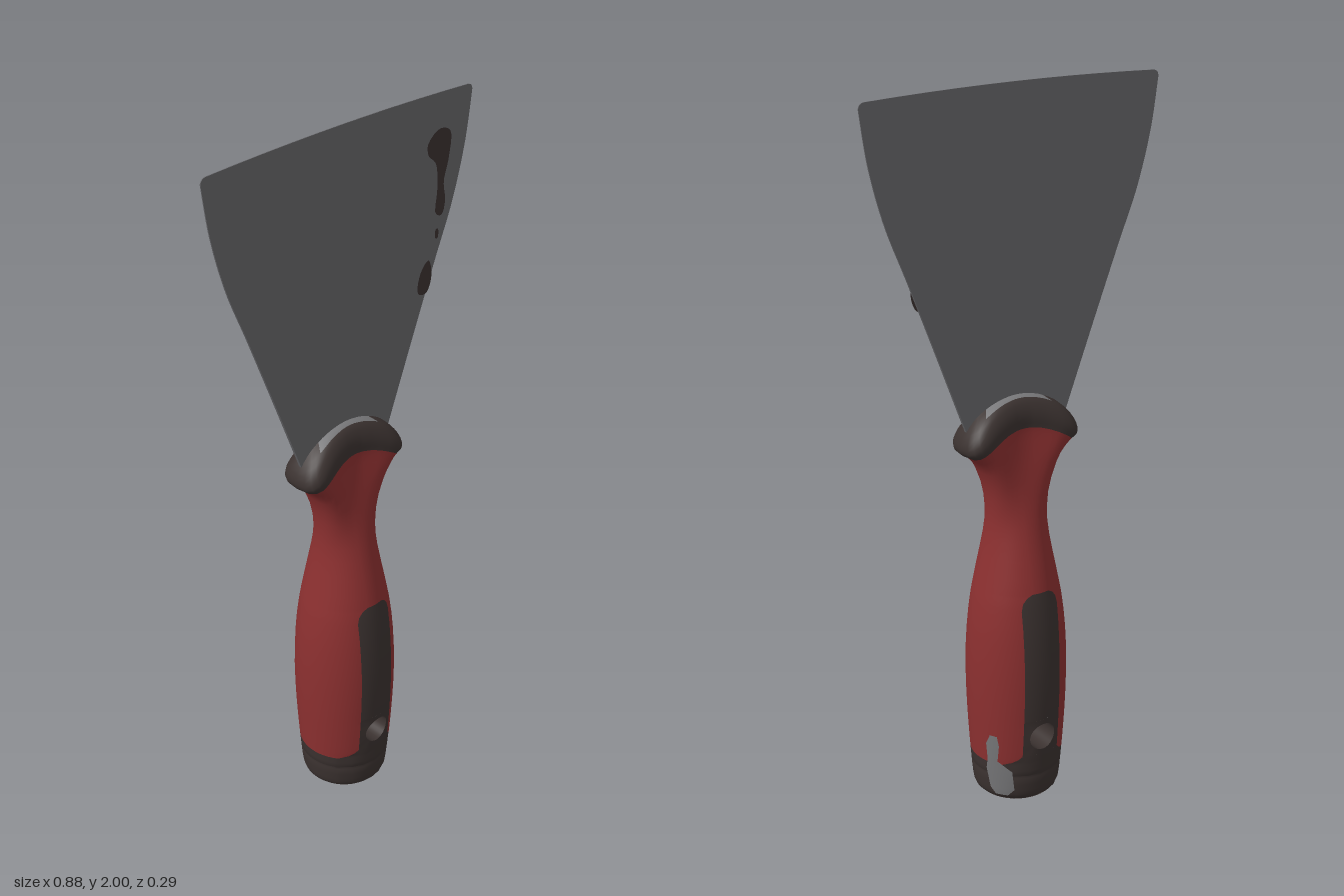
import * as THREE from 'three';

const mat = (name, color, side = THREE.FrontSide) => {
  const m = new THREE.MeshStandardMaterial({ color, side });
  m.name = name;
  return m;
};

// Handle profile: height, half width, half depth
const PROFILE = [
  [0.03, 0.102, 0.102], [0.042, 0.115, 0.115], [0.065, 0.121, 0.121], [0.11, 0.125, 0.126],
  [0.2, 0.131, 0.134], [0.3, 0.136, 0.14], [0.4, 0.138, 0.143], [0.5, 0.135, 0.14],
  [0.6, 0.125, 0.131], [0.7, 0.106, 0.115], [0.8, 0.087, 0.094], [0.87, 0.083, 0.08],
  [0.92, 0.09, 0.072], [0.97, 0.113, 0.066], [1.02, 0.148, 0.063], [1.05, 0.169, 0.066],
  [1.07, 0.174, 0.062], [1.09, 0.168, 0.05], [1.105, 0.148, 0.03], [1.112, 0.12, 0],
];
const slope = (i, c) => {
  const a = PROFILE[Math.max(i - 1, 0)], b = PROFILE[Math.min(i + 1, PROFILE.length - 1)];
  return (b[c] - a[c]) / (b[0] - a[0]);
};
function radius(t, c) {
  let i = 0;
  while (i < PROFILE.length - 2 && t > PROFILE[i + 1][0]) i++;
  const a = PROFILE[i], b = PROFILE[i + 1], h = b[0] - a[0], u = (t - a[0]) / h;
  const groove = Math.abs(t - 0.111) < 0.001 ? 0.965 : 1;
  const v = (1 + 2 * u) * (1 - u) ** 2 * a[c] + u * (1 - u) ** 2 * h * slope(i, c)
    + u * u * (3 - 2 * u) * b[c] + u * u * (u - 1) * h * slope(i + 1, c);
  return Math.max(0, v) * groove;
}

// Handle surface: round grip that becomes a pinched, arched fishtail at the neck
function surface(th, t, grow = 1) {
  const rx = radius(t, 1), rz = radius(t, 2), s = Math.abs(Math.sin(th));
  const k = THREE.MathUtils.smoothstep(t, 0.84, 1.04);
  const pinched = 1.866 * s ** 0.7 * (1 - 0.65 * s * s);
  const x = rx * Math.cos(th);
  const z = rz * Math.sign(Math.sin(th)) * THREE.MathUtils.lerp(s, pinched, k);
  return [x * grow, t + 0.08 * k * Math.max(0, 1 - (x / 0.175) ** 2), z * grow];
}

// Half width of the dark inlay at a given height
const INLAY = [[0.03, 0.085], [0.13, 0.1], [0.15, 0.1], [0.16, 0.08], [0.17, 0.066], [0.18, 0.057],
  [0.62, 0.057], [0.64, 0.052], [0.655, 0.041], [0.664, 0.025], [1.2, 0.025]];
function inlayWidth(t) {
  const i = Math.max(1, INLAY.findIndex((p) => p[0] >= t));
  const [a, b] = [INLAY[i - 1], INLAY[i]];
  return THREE.MathUtils.lerp(a[1], b[1], (t - a[0]) / (b[0] - a[0]));
}

function buffer(positions, index) {
  const g = new THREE.BufferGeometry();
  g.setAttribute('position', new THREE.Float32BufferAttribute(positions, 3));
  g.setIndex(index);
  return g;
}

const HOLE = { y: 0.235, r: 0.04, hx: 0.057, hy: 0.055 };
const ROWS = [0.03, 0.035, 0.042, 0.052, 0.065, 0.085, 0.107, 0.111, 0.115, 0.13, 0.15, 0.16, 0.17,
  0.18, 0.2, 0.235, 0.27, 0.29, 0.34, 0.4, 0.46, 0.52, 0.57, 0.62, 0.64, 0.655, 0.664, 0.7, 0.75,
  0.8, 0.84, 0.87, 0.9, 0.93, 0.96, 0.98, 1.0, 1.015, 1.028, 1.04, 1.05, 1.06, 1.07, 1.08, 1.09,
  1.098, 1.105, 1.109, 1.112];

function handleGeometry() {
  const SIDE = 16, STRIP = 6, N = 2 * (SIDE + STRIP);
  const pos = [], lists = [[], [], []]; // red, dark, scuffed
  for (const t of ROWS) {
    const e = Math.acos(inlayWidth(t) / radius(t, 1));
    const cuts = [[-e, e, SIDE], [e, Math.PI - e, STRIP],
      [Math.PI - e, Math.PI + e, SIDE], [Math.PI + e, 2 * Math.PI - e, STRIP]];
    for (const [a, b, n] of cuts)
      for (let j = 0; j < n; j++) pos.push(...surface(a + (b - a) * j / n, t));
  }
  for (let i = 0; i < ROWS.length - 1; i++) {
    const mid = (ROWS[i] + ROWS[i + 1]) / 2;
    for (let j = 0; j < N; j++) {
      const inlay = j % (SIDE + STRIP) >= SIDE;
      if (inlay && Math.abs(mid - HOLE.y) < HOLE.hy) continue; // hole window
      const a = i * N + j, b = i * N + (j + 1) % N, c = a + N, d = b + N;
      let m = mid < 0.15 || mid > 1.028 || (inlay && mid < 0.664) ? 1 : 0;
      if (mid > 1.105 && Math.abs(pos[a * 3]) < 0.1) m = 2;
      lists[m].push(a, c, b, b, c, d);
    }
  }
  const g = buffer(pos, lists.flat());
  let start = 0;
  lists.forEach((l, m) => { g.addGroup(start, l.length, m); start += l.length; });
  g.computeVertexNormals();
  return g;
}

// Inlay around the hanging hole, plus the bore running front to back
function holeGeometry() {
  const N = 32, pos = [], index = [];
  const rings = [[1, 1], [0, 1], [0, 1], [0, -1], [0, -1], [1, -1]]; // outer?, front or back
  for (const [outer, s] of rings) {
    for (let i = 0; i < N; i++) {
      const a = i / N * 2 * Math.PI, c = Math.cos(a), n = Math.sin(a);
      const q = Math.max(Math.abs(c), Math.abs(n));
      const x = outer ? c / q * HOLE.hx : c * HOLE.r;
      const y = HOLE.y + (outer ? n / q * HOLE.hy : n * HOLE.r);
      pos.push(x, y, s * radius(y, 2) * Math.sqrt(1 - (x / radius(y, 1)) ** 2));
    }
  }
  for (const k of [0, 2, 4]) {
    for (let i = 0; i < N; i++) {
      const a = k * N + i, b = k * N + (i + 1) % N;
      index.push(a, b, a + N, a + N, b, b + N);
    }
  }
  const g = buffer(pos, index);
  g.computeVertexNormals();
  return g;
}

// Worn patch hugging the handle: height, start angle, end angle
function scuffGeometry(rows) {
  const N = 6, pos = [], index = [];
  for (const [t, a, b] of rows)
    for (let j = 0; j <= N; j++) pos.push(...surface(a + (b - a) * j / N, t, 1.02));
  for (let i = 0; i < rows.length - 1; i++) {
    for (let j = 0; j < N; j++) {
      const a = i * (N + 1) + j, c = a + N + 1;
      index.push(a, c, a + 1, a + 1, c, c + 1);
    }
  }
  const g = buffer(pos, index);
  g.computeVertexNormals();
  return g;
}

const bladeHalf = (y) => THREE.MathUtils.mapLinear(y, 1.1, 2, 0.0045, 0.0012);

function bladeGeometry() {
  const edge = [[0.15, 1.1], [0.24, 1.335], [0.32, 1.54], [0.38, 1.69], [0.42, 1.835], [0.441, 1.97]];
  const v = (s) => edge.map(([x, y]) => new THREE.Vector2(s * x, y));
  const shape = new THREE.Shape();
  shape.moveTo(-0.15, 1.1);
  shape.lineTo(0.15, 1.1);
  shape.splineThru(v(1).slice(1));
  shape.quadraticCurveTo(0.443, 1.988, 0.425, 1.99);
  shape.quadraticCurveTo(0, 2.01, -0.425, 1.99);
  shape.quadraticCurveTo(-0.443, 1.988, -0.441, 1.97);
  shape.splineThru(v(-1).reverse().slice(1));
  const g = new THREE.ExtrudeGeometry(shape, { depth: 1, bevelEnabled: false, curveSegments: 10 });
  const p = g.attributes.position;
  for (let i = 0; i < p.count; i++) p.setZ(i, (p.getZ(i) * 2 - 1) * bladeHalf(p.getY(i)));
  g.computeVertexNormals();
  return g;
}

function spotGeometry(points) {
  const curve = new THREE.CatmullRomCurve3(points.map(([x, y]) => new THREE.Vector3(x, y, 0)), true);
  const g = new THREE.ShapeGeometry(new THREE.Shape(curve.getPoints(40).map((q) => new THREE.Vector2(q.x, q.y))));
  const p = g.attributes.position;
  for (let i = 0; i < p.count; i++) p.setZ(i, bladeHalf(p.getY(i)) + 0.0015);
  return g;
}

export function createModel() {
  const group = new THREE.Group();
  const red = mat('red grip', 0x8c3030);
  const dark = mat('dark rubber', 0x3b3230, THREE.DoubleSide);
  const steel = mat('blade steel', 0x67676a);
  const worn = mat('worn metal', 0x78787a, THREE.DoubleSide);
  const add = (name, geometry, material) => {
    const m = new THREE.Mesh(geometry, material);
    m.name = name;
    group.add(m);
    return m;
  };

  add('handle', handleGeometry(), [red, dark, worn]);
  add('hangingHole', holeGeometry(), dark);
  add('handleBase', new THREE.CircleGeometry(0.103, 44).rotateX(Math.PI / 2).translate(0, 0.03, 0), dark);

  // Rounded metal end of the tang
  const nub = [[0, 0], [0.035, 0.002], [0.052, 0.009], [0.062, 0.02], [0.064, 0.032]];
  add('endCap', new THREE.LatheGeometry(nub.map(([x, y]) => new THREE.Vector2(x, y)), 32), worn);

  add('handleScuff', scuffGeometry([[0.05, -0.8, -0.5], [0.07, -0.95, -0.38], [0.13, -0.9, -0.3],
    [0.16, -0.58, -0.34], [0.21, -0.62, -0.32], [0.24, -0.58, -0.42]]), worn);

  add('blade', bladeGeometry(), steel);
  const spots = [
    [[0.285, 1.87], [0.325, 1.9], [0.365, 1.885], [0.36, 1.81], [0.345, 1.755], [0.352, 1.7],
      [0.34, 1.665], [0.318, 1.675], [0.322, 1.74], [0.315, 1.81], [0.287, 1.84]],
    [[0.32, 1.63], [0.328, 1.63], [0.328, 1.605], [0.32, 1.605]],
    [[0.258, 1.49], [0.275, 1.535], [0.297, 1.55], [0.308, 1.5], [0.29, 1.46], [0.262, 1.465]],
  ];
  for (const s of spots) add('rustSpot', spotGeometry(s), dark);
  return group;
}
